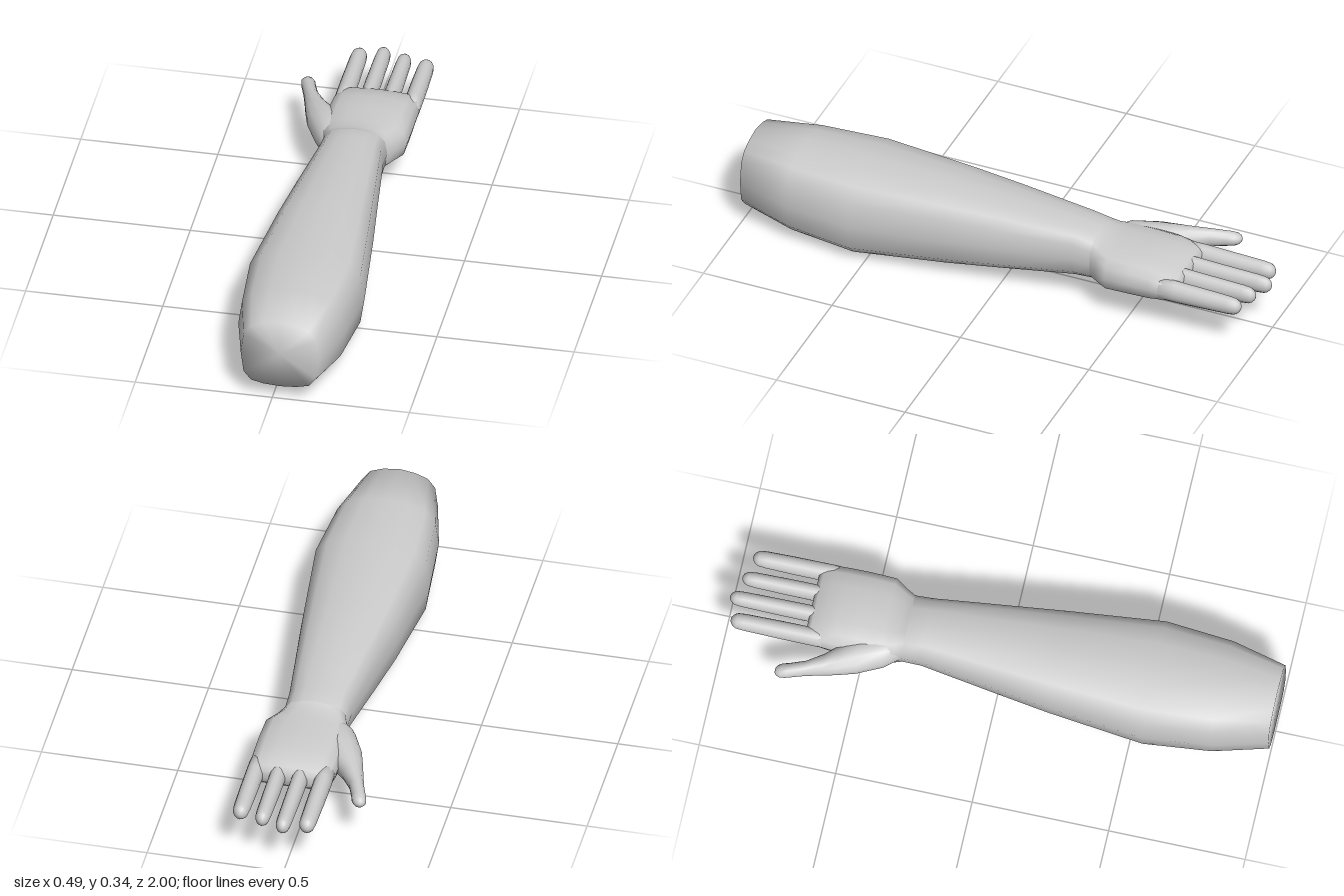
import * as THREE from 'three';

const material = new THREE.MeshStandardMaterial({ color: 0xcccccc });

// Right half of the boxy limb cross-section, top to bottom, mirrored to a full ring.
const half = [[0, 1], [0.42, 0.93], [0.74, 0.8], [0.93, 0.53], [1, -0.05], [0.93, -0.64], [0.74, -0.89], [0.42, -0.97], [0, -1]];
const limbRing = [...half, ...half.slice(1, -1).reverse().map(([x, y]) => [-x, y])];

// Round cross-section for the digits.
const roundRing = Array.from({ length: 14 }, (_, i) => {
  const a = (i / 14) * Math.PI * 2;
  return [Math.sin(a), Math.cos(a)];
});

// Skins rings fitted to sections [z, xMin, xMax, yMin, yMax], running towards -z.
function loft(name, ring, sections, capStart, capEnd) {
  const n = ring.length;
  const pos = [];
  const index = [];
  for (const [z, x0, x1, y0, y1] of sections) {
    for (const [u, v] of ring) {
      pos.push((x0 + x1) / 2 + (u * (x1 - x0)) / 2, (y0 + y1) / 2 + (v * (y1 - y0)) / 2, z);
    }
  }
  for (let i = 0; i < sections.length - 1; i++) {
    for (let j = 0; j < n; j++) {
      const a = i * n + j, b = i * n + ((j + 1) % n);
      index.push(a, b, a + n, b, b + n, a + n);
    }
  }
  const cap = (row, flip) => {
    const [z, x0, x1, y0, y1] = sections[row];
    const c = pos.length / 3;
    pos.push((x0 + x1) / 2, (y0 + y1) / 2, z);
    for (let j = 0; j < n; j++) {
      const a = row * n + j, b = row * n + ((j + 1) % n);
      if (flip) index.push(c, b, a);
      else index.push(c, a, b);
    }
  };
  if (capStart) cap(0, true);
  if (capEnd) cap(sections.length - 1, false);
  const geometry = new THREE.BufferGeometry();
  geometry.setAttribute('position', new THREE.Float32BufferAttribute(pos, 3));
  geometry.setIndex(index);
  geometry.computeVertexNormals();
  const mesh = new THREE.Mesh(geometry, material);
  mesh.name = name;
  return mesh;
}

// Straight finger with a slight taper and a rounded tip.
function finger(name, x, r, tip) {
  const y = 0.188;
  const rows = [[-0.64, r, 0.042], [-0.7, r, 0.042], [-0.8, r, 0.038], [tip + 0.05, r * 0.94, 0.034]];
  for (const a of [0.35, 0.7, 1.0, 1.25, 1.45]) {
    rows.push([tip + 0.035 * (1 - Math.sin(a)), r * 0.92 * Math.cos(a), 0.033 * Math.cos(a)]);
  }
  const sections = rows.map(([z, w, h]) => [z, x - w, x + w, y - h, y + h]);
  return loft(name, roundRing, sections, true, true);
}

export function createModel() {
  const model = new THREE.Group();
  model.name = 'armWithHand';

  // Forearm, closed at the elbow end
  const wrist = [-0.35, -0.088, 0.148, 0.105, 0.28];
  model.add(loft('forearm', limbRing, [
    [1, -0.115, 0.17, 0.055, 0.327],
    [0.8, -0.164, 0.222, 0.02, 0.339],
    [0.55, -0.187, 0.246, 0.003, 0.341],
    [0.2, -0.152, 0.207, 0.037, 0.326],
    [0, -0.126, 0.182, 0.062, 0.315],
    [-0.28, -0.088, 0.148, 0.1, 0.295],
    wrist,
  ], true, false));

  // Palm, thinning towards the knuckles
  model.add(loft('palm', limbRing, [
    wrist,
    [-0.38, -0.1, 0.168, 0.108, 0.268],
    [-0.43, -0.115, 0.203, 0.112, 0.265],
    [-0.52, -0.115, 0.206, 0.117, 0.264],
    [-0.6, -0.112, 0.206, 0.121, 0.26],
    [-0.65, -0.108, 0.206, 0.133, 0.247],
    [-0.69, -0.104, 0.205, 0.148, 0.232],
    [-0.705, -0.098, 0.2, 0.162, 0.218],
  ], false, true));

  // Four fingers
  const fingers = new THREE.Group();
  fingers.name = 'fingers';
  fingers.add(
    finger('indexFinger', -0.075, 0.032, -0.979),
    finger('middleFinger', 0.009, 0.029, -1),
    finger('ringFinger', 0.09, 0.029, -0.973),
    finger('littleFinger', 0.174, 0.032, -0.952),
  );
  model.add(fingers);

  // Thumb, slanting outwards from the wrist
  model.add(loft('thumb', roundRing, [
    [-0.36, -0.093, -0.02, 0.15, 0.225],
    [-0.41, -0.133, 0, 0.125, 0.25],
    [-0.5, -0.176, -0.02, 0.125, 0.245],
    [-0.57, -0.196, -0.08, 0.13, 0.232],
    [-0.62, -0.208, -0.127, 0.138, 0.222],
    [-0.68, -0.224, -0.168, 0.145, 0.213],
    [-0.74, -0.244, -0.19, 0.15, 0.206],
    [-0.762, -0.249, -0.196, 0.154, 0.202],
    [-0.777, -0.243, -0.206, 0.162, 0.194],
    [-0.783, -0.234, -0.217, 0.171, 0.185],
  ], true, true));

  return model;
}
